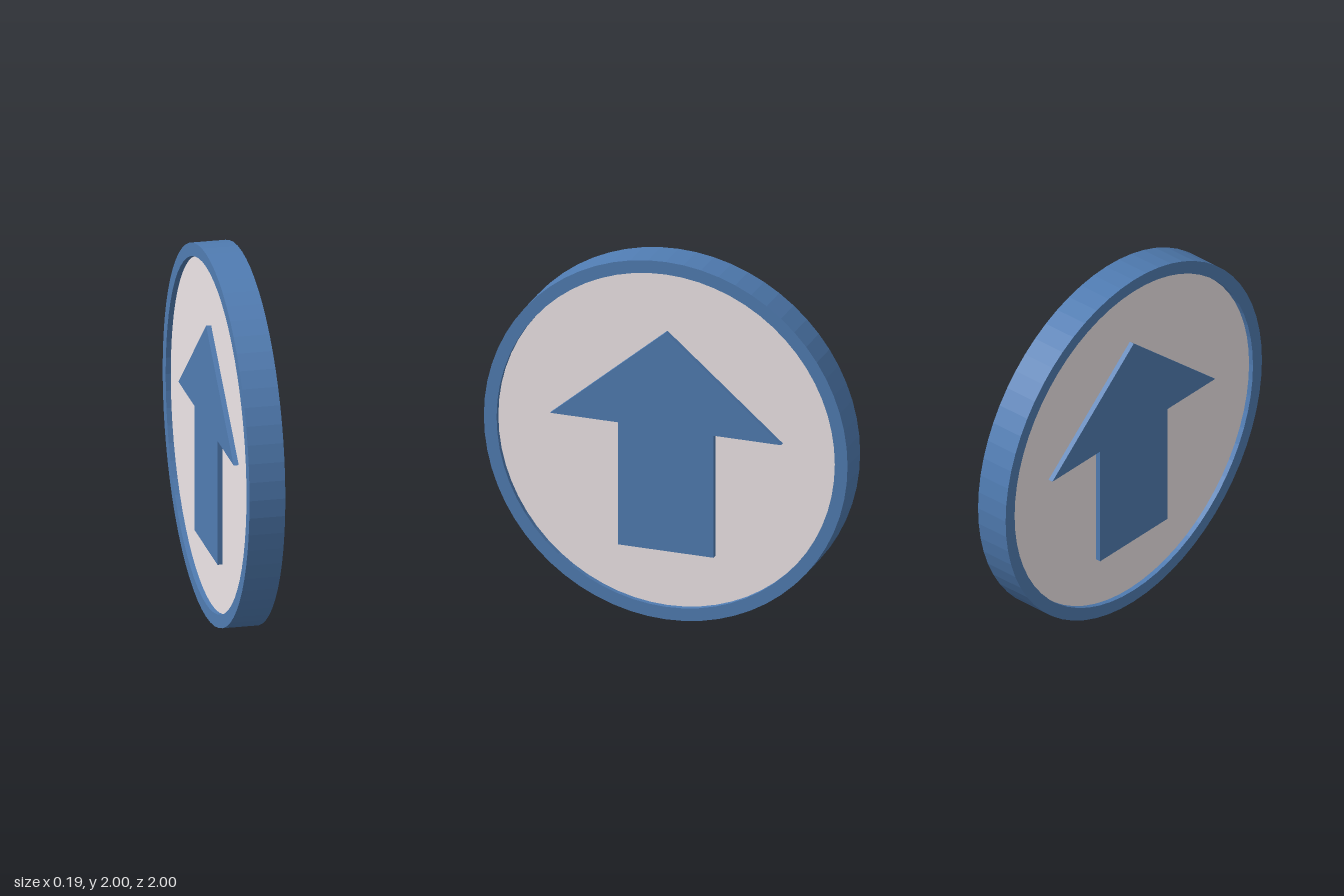
import * as THREE from 'three';

const HALF = 0.095;   // half thickness of the rim
const RECESS = 0.027; // depth of the faces below the rim
const INNER = 0.93;   // inner radius of the rim
const SIDES = 64;

export function createModel() {
  const model = new THREE.Group();
  const blue = new THREE.MeshStandardMaterial({ color: 0x507cb2, flatShading: true });
  const pale = new THREE.MeshStandardMaterial({ color: 0xeee6e8, flatShading: true });

  const add = (name, geometry, material, parent = model) => {
    const mesh = new THREE.Mesh(geometry, material);
    mesh.name = name;
    parent.add(mesh);
    return mesh;
  };

  // Rim: rectangular section turned around the x axis
  const section = [[1, -HALF], [1, HALF], [INNER, HALF], [INNER, -HALF], [1, -HALF]]
    .map(([r, h]) => new THREE.Vector2(r, h));
  const rim = new THREE.LatheGeometry(section, SIDES).rotateZ(-Math.PI / 2);
  add('rim', rim, blue).position.y = 1;

  // Recessed disc filling the rim
  const faceX = HALF - RECESS;
  const disc = new THREE.CylinderGeometry(INNER + 0.005, INNER + 0.005, 2 * faceX, SIDES);
  add('disc', disc.rotateZ(-Math.PI / 2), pale).position.y = 1;

  // Raised arrow on each face, level with the rim
  const half = [[0.263, 0.382], [0.263, 1.065], [0.635, 1.065]];
  const outline = [
    ...half, [0, 1.605],
    ...half.map(([z, y]) => [-z, y]).reverse(),
  ].map(([z, y]) => new THREE.Vector2(z, y));
  const arrow = new THREE.ExtrudeGeometry(new THREE.Shape(outline), { depth: RECESS, bevelEnabled: false });
  arrow.translate(0, 0, faceX);
  for (const side of [1, -1]) {
    add(side > 0 ? 'leftArrow' : 'rightArrow', arrow, blue).rotation.y = side * Math.PI / 2;
  }

  return model;
}
